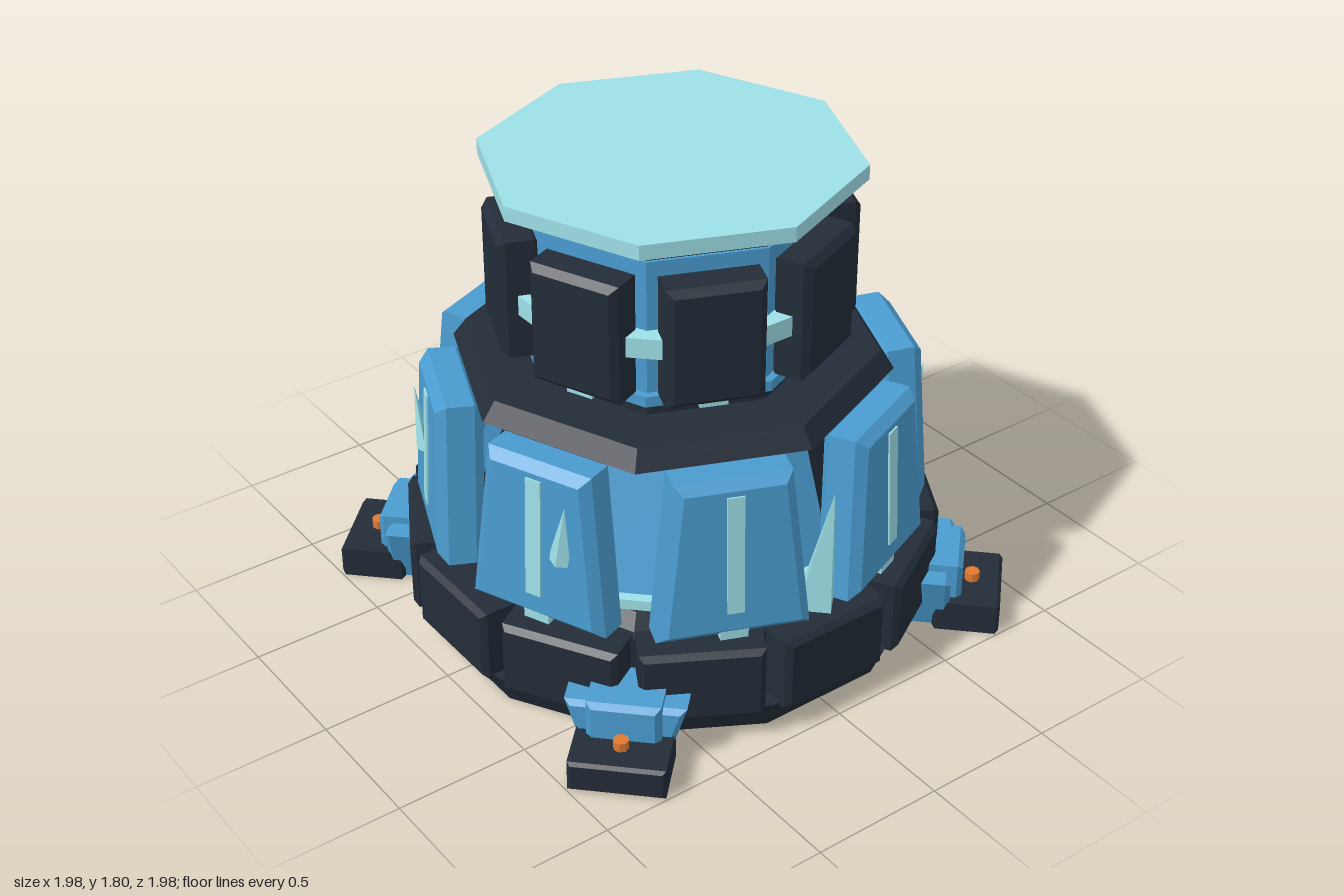
import * as THREE from 'three';

const mat = (color) => new THREE.MeshStandardMaterial({ color, flatShading: true, side: THREE.DoubleSide });

export function createModel() {
  const model = new THREE.Group();
  const blue = mat(0x4a9cd0), dark = mat(0x232c38), pale = mat(0x9ee0e8), orange = mat(0xe07a30);
  const EIGHTH = Math.PI / 4;

  const add = (parent, name, geometry, material, x = 0, y = 0, z = 0) => {
    const mesh = new THREE.Mesh(geometry, material);
    mesh.name = name;
    mesh.position.set(x, y, z);
    parent.add(mesh);
    return mesh;
  };

  // Group turned about the vertical axis; its local +z points outwards
  const spoke = (name, angle) => {
    const group = new THREE.Group();
    group.name = name;
    group.rotation.y = angle;
    model.add(group);
    return group;
  };

  // Chamfered slab with a trapezoid face, centred on the origin
  const slab = (bottom, top, height, depth, bevel) => {
    const b = bottom / 2 - bevel, t = top / 2 - bevel, h = height / 2 - bevel;
    const shape = new THREE.Shape([
      new THREE.Vector2(-b, -h), new THREE.Vector2(b, -h),
      new THREE.Vector2(t, h), new THREE.Vector2(-t, h),
    ]);
    const geo = new THREE.ExtrudeGeometry(shape, {
      depth: depth - 2 * bevel, bevelThickness: bevel, bevelSize: bevel, bevelSegments: 1,
    });
    return geo.translate(0, 0, bevel - depth / 2);
  };

  // Stacked rings from y0 to y1
  const ring = (name, r0, r1, y0, y1, material, sides = 8, turn = 0) => {
    const geo = new THREE.CylinderGeometry(r1, r0, y1 - y0, sides);
    geo.rotateY(turn);
    return add(model, name, geo, material, 0, (y0 + y1) / 2, 0);
  };
  ring('basePlate', 0.92, 0.97, 0, 0.12, dark, 12, Math.PI / 12);
  ring('baseDrum', 0.88, 0.88, 0.1, 0.38, dark, 12, Math.PI / 12);
  ring('deck', 0.86, 0.8, 0.38, 0.44, dark);
  ring('core', 0.75, 0.52, 0.42, 1.02, dark);
  ring('collar', 0.8, 0.75, 1.01, 1.08, dark);
  ring('neck', 0.54, 0.54, 1.06, 1.14, dark);
  ring('drumLip', 0.575, 0.575, 1.13, 1.17, blue);
  ring('drum', 0.545, 0.545, 1.15, 1.67, blue);
  ring('flare', 0.52, 0.63, 1.66, 1.75, dark);
  ring('cap', 0.68, 0.68, 1.75, 1.805, pale);

  // Ring of chamfered blocks round the base
  const baseBlock = slab(0.44, 0.44, 0.285, 0.18, 0.02);
  for (let i = 0; i < 12; i++) {
    add(spoke('baseBlockMount', i * Math.PI / 6), 'baseBlock', baseBlock, dark, 0, 0.2475, 0.885);
  }

  // Leaning armour panels below, upright blocks above
  const panelGeo = slab(0.54, 0.42, 0.62, 0.17, 0.035);
  const blockGeo = slab(0.345, 0.345, 0.45, 0.15, 0.025);
  const shardGeo = new THREE.ConeGeometry(0.045, 0.25, 4);
  shardGeo.scale(1, 1, 0.6);
  for (let i = 0; i < 8; i++) {
    const angle = (i + 0.5) * EIGHTH;
    const sector = spoke('sector', angle);

    const panel = new THREE.Group();
    panel.name = 'armourPanel';
    panel.position.set(0, 0.71, 0.815);
    panel.rotation.x = -0.05;
    sector.add(panel);
    add(panel, 'panelBody', panelGeo, blue);
    add(panel, 'panelLight', new THREE.BoxGeometry(0.06, 0.46, 0.03), pale, 0, 0.025, 0.077);
    add(sector, 'lowerLamp', new THREE.BoxGeometry(0.1, 0.05, 0.06), pale, 0, 0.41, 0.87);

    // Shards sit on the panels nearest the sides, towards the diagonals
    if (Math.abs(Math.sin(angle)) > 0.8) {
      const side = Math.sin(angle) * Math.cos(angle) > 0 ? -1 : 1;
      const shard = add(panel, 'shard', shardGeo, pale, side * 0.12, 0.08, 0.095);
      shard.rotation.set(0.12, 0, -side * 0.15);
    }

    add(sector, 'upperBlock', blockGeo, dark, 0, 1.395, 0.565);
    add(sector, 'upperLamp', new THREE.BoxGeometry(0.1, 0.04, 0.06), pale, 0, 1.165, 0.57);
  }

  // Links and inner plates in the gaps between sectors
  for (let i = 0; i < 8; i++) {
    const gap = spoke('gap', i * EIGHTH);
    add(gap, 'link', new THREE.BoxGeometry(0.125, 0.075, 0.1), pale, 0, 1.375, 0.55);
    add(gap, 'gapLamp', new THREE.BoxGeometry(0.14, 0.04, 0.06), pale, 0, 0.46, 0.76);
    if (i % 4 !== 2) {
      const plate = add(gap, 'innerPlate', new THREE.BoxGeometry(0.28, 0.56, 0.06), blue, 0, 0.73, 0.625);
      plate.rotation.x = -0.36;
    }
  }

  // Tall outward-leaning spikes at the front and back
  const spikeGeo = new THREE.ConeGeometry(0.085, 0.5, 4);
  const p = spikeGeo.attributes.position;
  for (let i = 0; i < p.count; i++) p.setZ(i, p.getZ(i) + (p.getY(i) + 0.25) * 0.16);
  for (const angle of [0, Math.PI]) {
    add(spoke('spikeMount', angle), 'spike', spikeGeo, pale, 0, 0.65, 0.845);
  }

  // Four feet on the diagonals
  for (let i = 0; i < 4; i++) {
    const foot = spoke('foot', (i + 0.5) * Math.PI / 2);
    add(foot, 'footPad', slab(0.34, 0.34, 0.12, 0.245, 0.012), dark, 0, 0.06, 1.1225);
    add(foot, 'footBracket', slab(0.3, 0.42, 0.23, 0.2, 0.02), blue, 0, 0.12, 0.96);
    add(foot, 'footArm', slab(0.26, 0.26, 0.17, 0.26, 0.02), blue, 0, 0.175, 0.97);
    add(foot, 'footBolt', new THREE.CylinderGeometry(0.028, 0.028, 0.04, 8), orange, 0, 0.135, 1.135);
  }

  return model;
}
